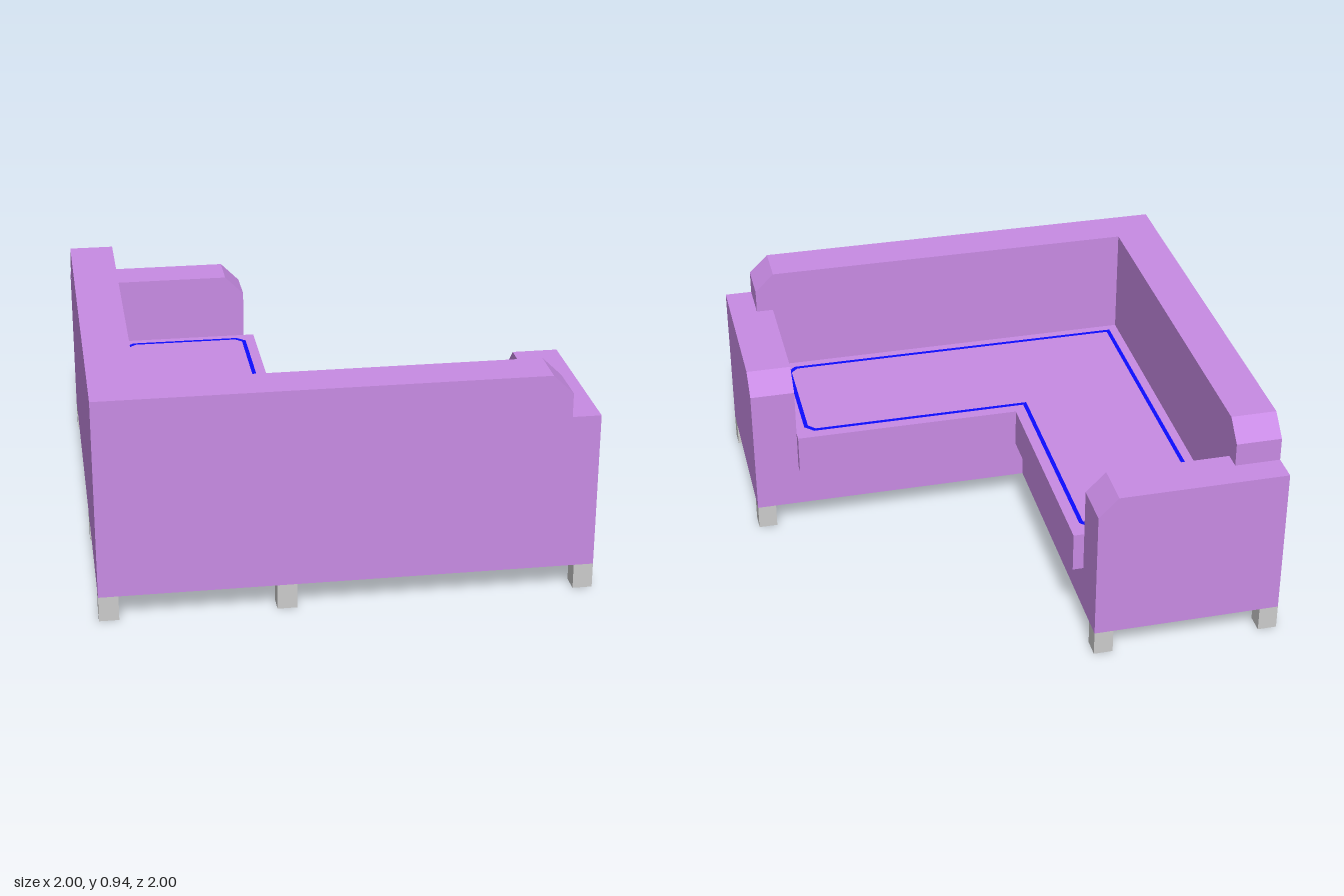
import * as THREE from 'three';

const FABRIC = new THREE.MeshStandardMaterial({ color: 0xc88be4, flatShading: true });
const PIPING = new THREE.MeshStandardMaterial({ color: 0x0c0cff, side: THREE.DoubleSide });
const LEG = new THREE.MeshStandardMaterial({ color: 0xcccccc, flatShading: true });

const LEG_H = 0.105; // underside of the body
const IN = 0.81;     // inner face of backs and arms
const SEAT = 0.21;   // front edge of the base
const CUT = 0.083;   // chamfer size

const toShape = (pts) => new THREE.Shape(pts.map(([x, y]) => new THREE.Vector2(x, y)));
const extrude = (pts, depth) =>
  new THREE.ExtrudeGeometry(toShape(pts), { depth, bevelEnabled: false });

// L-shaped floor plan in (x, -z): outer reach a, notch edge n, corner cut c
function planL(a, n, c = 0) {
  if (!c) return [[-a, -a], [a, -a], [a, -n], [-n, -n], [-n, a], [-a, a]];
  return [[-a, -a], [a - c, -a], [a, c - a], [a, -n - c], [a - c, -n], [-n, -n],
    [-n, a - c], [-n - c, a], [c - a, a], [-a, a - c]];
}

// Back panel outline: its free end sits over the arm and is chamfered
const backProfile = (start) => [[start, LEG_H], [IN, LEG_H], [IN, 0.76], [0.883, 0.76],
  [0.883, 0.86], [0.883 - CUT, 0.94], [start, 0.94]];

// Arm outline with a chamfered front
const armProfile = [[-1, LEG_H], [-SEAT, LEG_H], [-SEAT, 0.76 - CUT],
  [-SEAT - CUT, 0.76], [-1, 0.76]];

export function createModel() {
  const sofa = new THREE.Group();
  sofa.name = 'cornerSofa';
  const add = (name, geometry, material) => {
    const mesh = new THREE.Mesh(geometry, material);
    mesh.name = name;
    sofa.add(mesh);
    return mesh;
  };

  // Upright panels: along x at a given z, or turned to run along -z at a given x
  const panel = (name, profile, offset, turned) => {
    const g = extrude(profile, 1 - IN).translate(0, 0, offset);
    if (turned) g.rotateY(Math.PI / 2);
    add(name, g, FABRIC);
  };
  panel('frontBackrest', backProfile(-1), IN, false);
  panel('sideBackrest', backProfile(-IN), -1, true);
  panel('backArm', armProfile, -1, false);
  panel('leftArm', armProfile, IN, true);

  // Seat base and the overhanging cushion
  const slab = (name, notch, y0, y1) => {
    const g = extrude(planL(IN, notch), y1 - y0).rotateX(-Math.PI / 2);
    add(name, g.translate(0, y0, 0), FABRIC);
  };
  slab('seatBase', SEAT, LEG_H, 0.3);
  slab('seatCushion', 0.165, 0.3, 0.47);

  // Flat piping outline on the cushion
  const outline = toShape(planL(0.77, 0.21, 0.038));
  outline.holes.push(toShape(planL(0.752, 0.228, 0.03)));
  const piping = new THREE.ShapeGeometry(outline).rotateX(-Math.PI / 2);
  add('cushionPiping', piping.translate(0, 0.472, 0), PIPING);

  // Square legs around the L
  const legs = new THREE.Group();
  legs.name = 'legs';
  sofa.add(legs);
  const size = 0.08, e = 1 - size / 2, m = SEAT + size / 2;
  const legGeometry = new THREE.BoxGeometry(size, LEG_H, size);
  for (const [x, z] of [[-e, e], [-m, e], [e, e], [e, m], [-e, m], [-e, -e], [-m, -e]]) {
    const leg = new THREE.Mesh(legGeometry, LEG);
    leg.name = 'leg';
    leg.position.set(x, LEG_H / 2, z);
    legs.add(leg);
  }
  return sofa;
}
